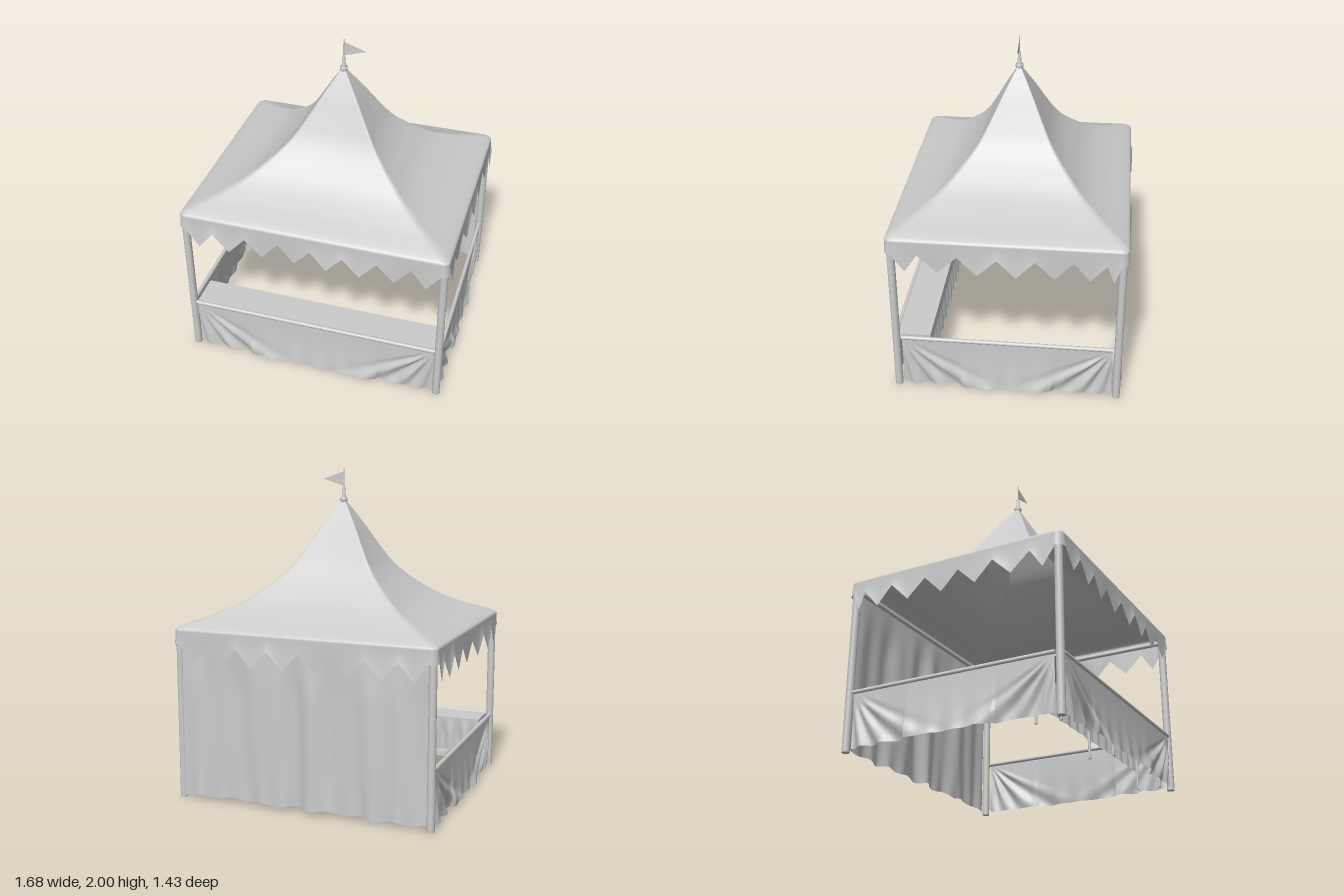
import * as THREE from 'three';

const HX = 0.825, HZ = 0.7, R = 0.04; // eave half sizes and corner radius
const material = new THREE.MeshStandardMaterial({ color: 0xcccccc, side: THREE.DoubleSide });
const smooth = (a, b, x) => THREE.MathUtils.smoothstep(x, a, b);

function add(parent, name, geometry, x = 0, y = 0, z = 0) {
  const mesh = new THREE.Mesh(geometry, material);
  mesh.name = name;
  mesh.position.set(x, y, z);
  parent.add(mesh);
  return mesh;
}

// Grid surface: fn(u, v) returns [x, y, z] for u, v in 0..1
function sheet(nu, nv, fn) {
  const pos = [], index = [];
  for (let j = 0; j <= nv; j++)
    for (let i = 0; i <= nu; i++) pos.push(...fn(i / nu, j / nv));
  for (let j = 0; j < nv; j++)
    for (let i = 0; i < nu; i++) {
      const a = j * (nu + 1) + i, b = a + nu + 1;
      index.push(a, b, a + 1, a + 1, b, b + 1);
    }
  const g = new THREE.BufferGeometry();
  g.setAttribute('position', new THREE.Float32BufferAttribute(pos, 3));
  g.setIndex(index);
  g.computeVertexNormals();
  return g;
}

// Rounded rectangle outline with the sag weight of each point
function outline() {
  const pts = [], steps = 16;
  const corners = [[1, 1], [-1, 1], [-1, -1], [1, -1]];
  corners.forEach(([sx, sz], k) => {
    for (let i = 0; i <= 5; i++) {
      const a = (k + i / 5) * Math.PI / 2;
      pts.push([sx * (HX - R) + R * Math.cos(a), sz * (HZ - R) + R * Math.sin(a), 0]);
    }
    const [nx, nz] = corners[(k + 1) % 4], p = pts[pts.length - 1];
    const q = sx === nx ? [p[0], nz * (HZ - R)] : [nx * (HX - R), p[1]];
    for (let i = 1; i < steps; i++) {
      const t = i / steps;
      pts.push([p[0] + (q[0] - p[0]) * t, p[1] + (q[1] - p[1]) * t, Math.sin(Math.PI * t)]);
    }
  });
  pts.push(pts[0]);
  return pts;
}

// Concave tent roof lofted along a curved profile of [scale, height]
function roofGeometry() {
  const curve = new THREE.CatmullRomCurve3([
    [1, 1.035], [0.998, 1.052], [0.98, 1.066], [0.79, 1.128], [0.6, 1.205], [0.47, 1.285],
    [0.4, 1.335], [0.31, 1.415], [0.22, 1.53], [0.12, 1.67], [0.02, 1.8],
  ].map(([s, y]) => new THREE.Vector3(s, y, 0)));
  const ring = outline();
  return sheet(ring.length - 1, 50, (u, v) => {
    const [x, z, sag] = ring[Math.round(u * (ring.length - 1))];
    const p = curve.getPoint(v);
    const s = p.x * (1 - 0.035 * sag * Math.sin(Math.PI * Math.min(p.x, 1)));
    return [x * s, p.y, z * s];
  });
}

// Hanging zigzag border; valleys lists the breaks between teeth
function valanceGeometry(valleys, out, phase) {
  const n = valleys.length - 1;
  return sheet(n * 8, 8, (u, v) => {
    const k = Math.min(Math.floor(u * n + 1e-6), n - 1), f = u * n - k;
    const along = valleys[k] + (valleys[k + 1] - valleys[k]) * f;
    const low = 0.965 - 0.112 * (1 - Math.abs(2 * f - 1));
    const wave = v * v * (0.006 + 0.008 * Math.sin(along * 8 + phase));
    return [along, 1.045 + (low - 1.045) * v, out + wave];
  });
}

// Low cloth with folds fanning out of its two upper corners
function skirtGeometry(half, out) {
  const top = 0.35, bottom = 0.018;
  return sheet(120, 28, (u, v) => {
    const x = (u * 2 - 1) * half, y = top + (bottom - top) * v;
    const dx = half - Math.abs(x), dy = top - y;
    const r = Math.hypot(dx, dy), a = Math.atan2(dy, dx + 1e-6);
    const fan = smooth(0.4, 0.65, a) * smooth(0, 0.2, r);
    const folds = 0.011 * Math.sin(a * 19 + r * 4) * fan;
    const flare = 0.018 * v * v * smooth(0.35, 0, dx);
    const hem = 0.007 * v * v * v * Math.sin(x * 42);
    return [x, y, out + folds + flare + hem];
  });
}

function rod(length, radius) {
  return new THREE.CylinderGeometry(radius, radius, length, 16);
}

export function createModel() {
  const tent = new THREE.Group();
  tent.name = 'marketTent';

  add(tent, 'roof', roofGeometry());

  // Zigzag valance on four sides
  const longTeeth = [-0.785, -0.61, -0.405, -0.2, 0, 0.2, 0.405, 0.61, 0.785];
  const shortTeeth = [-0.66, -0.51, -0.28, -0.05, 0.17, 0.39, 0.58, 0.66];
  const mirrored = shortTeeth.map((z) => -z).reverse();
  for (let i = 0; i < 4; i++) {
    const long = i % 2 === 0;
    const teeth = long ? longTeeth : i === 1 ? shortTeeth.map((z) => z) : mirrored;
    add(tent, 'valance', valanceGeometry(teeth, long ? HZ : HX, i * 1.7)).rotation.y = i * Math.PI / 2;
  }

  for (const sx of [-1, 1]) {
    for (const sz of [-1, 1]) {
      // Corner posts and the cloth wrapped round them
      add(tent, 'cornerPost', rod(1.05, 0.0235), sx * 0.796, 0.525, sz * 0.668);
      add(tent, 'valanceCorner', sheet(6, 2, (u, v) => {
        const a = u * Math.PI / 2, r = R + 0.006 * v * v;
        return [sx * (HX - R + r * Math.cos(a)), 1.045 - 0.08 * v, sz * (HZ - R + r * Math.sin(a))];
      }));
    }
    // Eave beams
    add(tent, 'sideBeam', rod(1.33, 0.014), sx * 0.796, 1.01, 0).rotation.x = Math.PI / 2;
    add(tent, 'endBeam', rod(1.59, 0.014), 0, 1.01, sx * 0.668).rotation.z = Math.PI / 2;
    // Side rails with skirts
    add(tent, 'sideRail', rod(1.28, 0.013), sx * 0.8, 0.352, 0).rotation.x = Math.PI / 2;
    add(tent, 'sideSkirt', skirtGeometry(0.635, 0.803)).rotation.y = sx * Math.PI / 2;
  }

  // Front rail with skirt
  add(tent, 'frontRail', rod(1.55, 0.013), 0, 0.352, 0.675).rotation.z = Math.PI / 2;
  add(tent, 'frontSkirt', skirtGeometry(0.77, 0.678));

  // Counter board, its rippled inner drape and its legs
  add(tent, 'counter', new THREE.BoxGeometry(1.54, 0.02, 0.21), 0, 0.349, 0.57);
  add(tent, 'counterDrape', sheet(160, 8, (u, v) => {
    const x = (u * 2 - 1) * 0.765;
    const ripple = Math.sin(x * 58 + 0.8 * Math.sin(x * 9));
    return [x, 0.352 - (0.215 + 0.006 * ripple) * v, 0.462 + 0.012 * ripple * smooth(0, 0.5, v)];
  }));
  for (const x of [-0.72, -0.04, 0.7])
    for (const z of [0.485, 0.63])
      add(tent, 'counterLeg', new THREE.CylinderGeometry(0.013, 0.008, 0.335, 10), x, 0.1725, z);

  // Full height back curtain
  add(tent, 'backCurtain', sheet(160, 24, (u, v) => {
    const x = (u * 2 - 1) * 0.775;
    const fold = Math.sin(x * 15 + 1.6 * Math.sin(x * 5) + v * 0.5) + 0.4 * Math.sin(x * 34 + v);
    const hem = 0.006 * Math.sin(x * 45) * v ** 6;
    return [x, 1.045 - (1.02 - 0.008 * Math.sin(x * 30)) * v, -0.678 + 0.014 * fold * smooth(0, 0.35, v) + hem];
  }));

  // Collar, flagpole and pennant
  add(tent, 'finial', new THREE.LatheGeometry([
    [0.016, 1.775], [0.018, 1.8], [0.023, 1.805], [0.023, 1.822], [0.013, 1.828],
    [0.008, 1.89], [0.004, 1.9], [0.003, 2], [0, 2],
  ].map(([r, y]) => new THREE.Vector2(r, y)), 16));
  const flag = new THREE.Shape([[0, 1.985], [0, 1.895], [0.137, 1.938]].map(([x, y]) => new THREE.Vector2(x, y)));
  add(tent, 'flag', new THREE.ShapeGeometry(flag));

  return tent;
}
